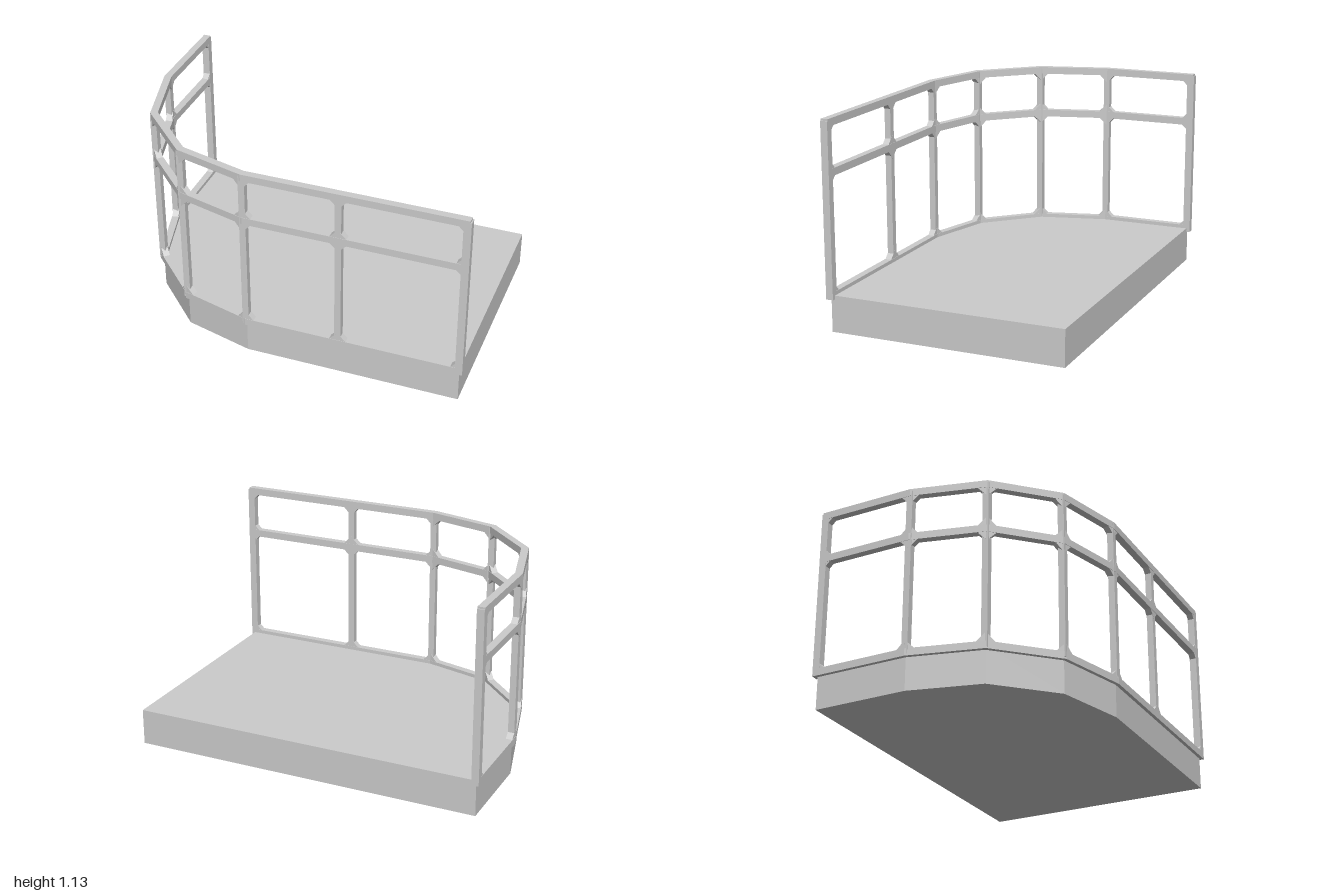
import * as THREE from 'three';

const material = new THREE.MeshStandardMaterial({ color: 0xcccccc, flatShading: true });

// Plan outline of the railing as (x, z): long side, rounded corner, short side
const path = [new THREE.Vector2(0.98, 0.65), new THREE.Vector2(0.32, 0.65)];
for (let i = 0; i <= 3; i++) {
  const a = (i * Math.PI) / 6;
  path.push(new THREE.Vector2(-0.2 - 0.78 * Math.sin(a), -0.13 + 0.78 * Math.cos(a)));
}
path.push(new THREE.Vector2(-0.98, -0.65));
const last = path.length - 1;

function add(group, name, geometry) {
  const mesh = new THREE.Mesh(geometry, material);
  mesh.name = name;
  group.add(mesh);
  return mesh;
}

// Horizontal slab from a plan outline
function slab(points, bottom, top) {
  const geo = new THREE.ExtrudeGeometry(new THREE.Shape(points), { depth: top - bottom, bevelEnabled: false });
  return geo.rotateX(Math.PI / 2).translate(0, top, 0);
}

// Path moved sideways with mitred corners, ends lengthened a little
function offsetPath(d) {
  return path.map((p, i) => {
    const before = p.clone().sub(path[Math.max(i - 1, 0)]).normalize();
    const after = path[Math.min(i + 1, last)].clone().sub(p).normalize();
    const along = before.clone().add(after).normalize();
    const cos = i === 0 || i === last ? 1 : along.dot(after);
    const end = i === 0 ? -0.013 : i === last ? 0.013 : 0;
    return new THREE.Vector2(
      p.x - (along.y * d) / cos + along.x * end,
      p.y + (along.x * d) / cos + along.y * end
    );
  });
}

// Triangular corner brace running from a joint towards another path point
function brace(from, to, y, up) {
  const s = 0.065, t = 0.036;
  const tri = new THREE.Shape([
    new THREE.Vector2(0, 0), new THREE.Vector2(s, 0), new THREE.Vector2(0, up * s),
  ]);
  return new THREE.ExtrudeGeometry(tri, { depth: t, bevelEnabled: false })
    .translate(0, 0, -t / 2)
    .rotateY(Math.atan2(from.y - to.y, to.x - from.x))
    .translate(from.x, y, from.y);
}

export function createModel() {
  const model = new THREE.Group();
  model.name = 'balcony';

  add(model, 'platform', slab([...path, new THREE.Vector2(0.98, -0.65)], 0, 0.2));

  // Three rails following the outline
  const railing = new THREE.Group();
  railing.name = 'railing';
  model.add(railing);
  const outline = [...offsetPath(0.02), ...offsetPath(-0.02).reverse()];
  const rails = [
    { name: 'bottomRail', y: 0.2, sides: [1] },
    { name: 'middleRail', y: 0.85, sides: [1, -1] },
    { name: 'topRail', y: 1.11, sides: [-1] },
  ];
  for (const r of rails) add(railing, r.name, slab(outline, r.y - 0.02, r.y + 0.02));

  // Posts, with braces where they meet the rails
  path.forEach((p, i) => {
    const isEnd = i === 0 || i === last;
    const w = isEnd ? 0.04 : 0.035;
    const low = isEnd ? 0.18 : 0.19;
    const post = add(railing, isEnd ? 'endPost' : 'post', new THREE.BoxGeometry(w, 1.12 - low, w));
    post.position.set(p.x, (1.12 + low) / 2, p.y);
    for (const next of [path[i - 1], path[i + 1]]) {
      if (!next) continue;
      for (const r of rails) {
        for (const up of r.sides) add(railing, 'cornerBrace', brace(p, next, r.y, up));
      }
    }
  });
  return model;
}
